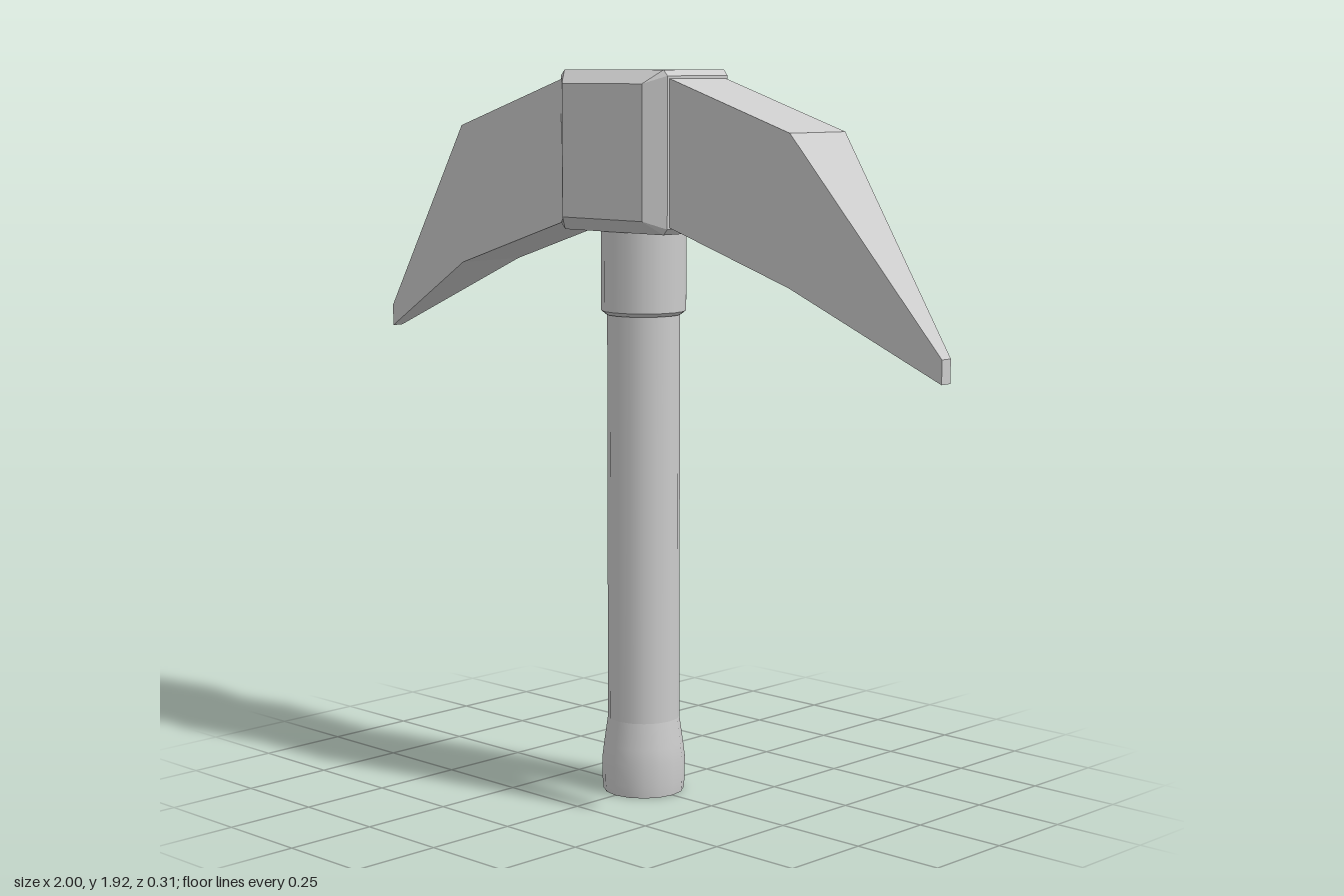
import * as THREE from 'three';
import { ConvexGeometry } from 'three/addons/geometries/ConvexGeometry.js';

const material = new THREE.MeshStandardMaterial({ color: 0xcccccc });
const flatMaterial = new THREE.MeshStandardMaterial({ color: 0xcccccc, flatShading: true });

function addMesh(group, name, geometry, mat) {
  const mesh = new THREE.Mesh(geometry, mat);
  mesh.name = name;
  group.add(mesh);
}

// Lathed part from [radius, y] pairs, listed bottom to top
function turned(profile) {
  return new THREE.LatheGeometry(profile.map(([r, y]) => new THREE.Vector2(r, y)), 16);
}

// Both blades as one bar, shaped by stations along x: [x, bottom, top, half depth]
function bladeGeometry() {
  const stations = [[0.19, 1.525, 1.9, 0.104], [0.595, 1.395, 1.77, 0.104], [1, 1.185, 1.245, 0.017]];
  const all = [...stations.map(([x, ...rest]) => [-x, ...rest]).reverse(), ...stations];
  const geometry = new THREE.BoxGeometry(5, 2, 2, 5, 1, 1).toNonIndexed();
  const p = geometry.attributes.position;
  for (let i = 0; i < p.count; i++) {
    const [x, bottom, top, depth] = all[Math.round(p.getX(i) + 2.5)];
    p.setXYZ(i, x, p.getY(i) > 0 ? top : bottom, Math.sign(p.getZ(i)) * depth);
  }
  geometry.computeVertexNormals();
  return geometry;
}

// Block with wide chamfers at front and back, narrow ones along the sides
function headGeometry() {
  const corners = [[0.145, 0.173, 0.155], [0.18, 0.208, 0.112], [0.193, 0.193, 0.112]];
  const points = [];
  for (const [x, y, z] of corners)
    for (const sx of [-1, 1])
      for (const sy of [-1, 1])
        for (const sz of [-1, 1]) points.push(new THREE.Vector3(sx * x, 1.713 + sy * y, sz * z));
  return new ConvexGeometry(points);
}

export function createModel() {
  const group = new THREE.Group();
  group.name = 'pickaxe';

  // Handle shaft with a flared butt
  addMesh(group, 'handle', turned([[0.096, 0.19], [0.096, 1.52]]), material);
  addMesh(group, 'handleButt', turned([
    [0, 0], [0.108, 0], [0.108, 0], [0.111, 0.03], [0.111, 0.09], [0.106, 0.13], [0.096, 0.2],
  ]), material);

  // Collar under the head
  addMesh(group, 'collar', turned([
    [0.09, 1.285], [0.1, 1.285], [0.112, 1.295], [0.112, 1.295], [0.112, 1.52],
  ]), material);

  // Head block and blades
  addMesh(group, 'headBlock', headGeometry(), flatMaterial);
  addMesh(group, 'blades', bladeGeometry(), flatMaterial);

  return group;
}
